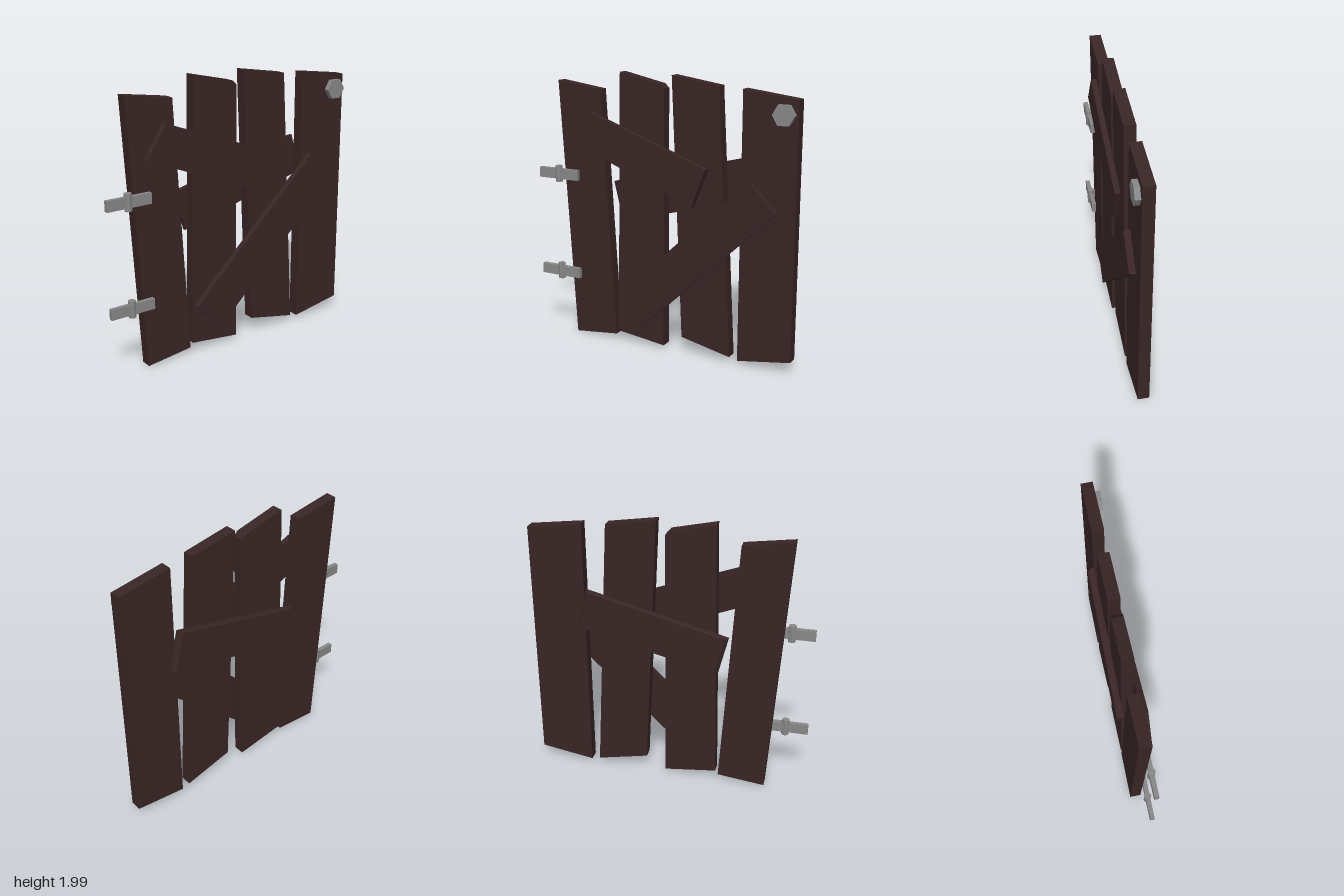
import * as THREE from 'three';

export function createModel() {
  const gate = new THREE.Group();
  gate.name = 'gate';
  const wood = new THREE.MeshStandardMaterial({ name: 'dark wood', color: 0x392525 });
  const metal = new THREE.MeshStandardMaterial({ name: 'grey metal', color: 0x888888 });

  function add(name, geometry, material, x = 0, y = 0, z = 0) {
    const mesh = new THREE.Mesh(geometry, material);
    mesh.name = name;
    mesh.position.set(x, y, z);
    gate.add(mesh);
    return mesh;
  }

  // A board cut to an outline in x and y, running from z0 to z1.
  // shrink pulls the outline of the outer face (far from z = 0) inwards.
  function board(name, outline, z0, z1, shrink = 0) {
    const shape = new THREE.Shape(outline.map(([x, y]) => new THREE.Vector2(x, y)));
    const geometry = new THREE.ExtrudeGeometry(shape, { depth: z1 - z0, steps: 2, bevelEnabled: false });
    geometry.translate(0, 0, z0);
    if (shrink) {
      const outer = Math.abs(z0) > Math.abs(z1) ? z0 : z1;
      const n = outline.length;
      const cx = outline.reduce((sum, p) => sum + p[0], 0) / n;
      const cy = outline.reduce((sum, p) => sum + p[1], 0) / n;
      const pos = geometry.attributes.position;
      for (let i = 0; i < pos.count; i++) {
        if (Math.abs(pos.getZ(i) - outer) > 1e-4) continue;
        pos.setX(i, cx + (pos.getX(i) - cx) * (1 - shrink));
        pos.setY(i, cy + (pos.getY(i) - cy) * (1 - shrink));
      }
      geometry.computeVertexNormals();
    }
    add(name, geometry, wood);
  }

  // Upright planks, each cut crookedly
  const planks = [
    [[-0.83, 1.92], [-0.715, 0.01], [-0.37, 0.05], [-0.48, 1.87]],
    [[-0.315, 2.0], [-0.35, 0.08], [0.03, 0.035], [0.03, 1.9], [0, 1.93]],
    [[0.09, 1.995], [0.175, 0.13], [0.55, 0.05], [0.44, 1.94]],
    [[0.61, 1.93], [0.61, 0.035], [1, 0.1], [0.995, 1.88]],
  ];
  planks.forEach((outline, i) => board(`plank${i + 1}`, outline, -0.04, 0.04));

  // Slanted braces
  board('upperBrace', [[-0.56, 1.715], [-0.71, 1.49], [0.265, 1.105], [0.37, 1.38]], 0.04, 0.08, 0.01);
  board('lowerBrace', [[0.68, 1.33], [-0.335, 0.37], [-0.13, 0.165], [0.875, 1.13]], 0.04, 0.084);
  board('backBrace', [[-0.42, 1.2], [-0.35, 0.915], [0.66, 1.175], [0.59, 1.46]], -0.085, -0.04, 0.04);

  // Hinges: strap and upright pin
  for (const [side, y] of [['upper', 1.235], ['lower', 0.485]]) {
    add(`${side}HingeStrap`, new THREE.BoxGeometry(0.33, 0.076, 0.032), metal, -0.835, y, 0.056);
    const pin = new THREE.CylinderGeometry(0.027, 0.027, 0.12, 8).toNonIndexed();
    pin.computeVertexNormals();
    add(`${side}HingePin`, pin, metal, -0.838, y, 0.055);
  }

  // Six-sided knob
  const knob = new THREE.CylinderGeometry(0.077, 0.077, 0.04, 6).toNonIndexed();
  knob.rotateY(Math.PI / 6);
  knob.rotateX(Math.PI / 2);
  knob.computeVertexNormals();
  add('knob', knob, metal, 0.902, 1.78, 0.058);

  return gate;
}
